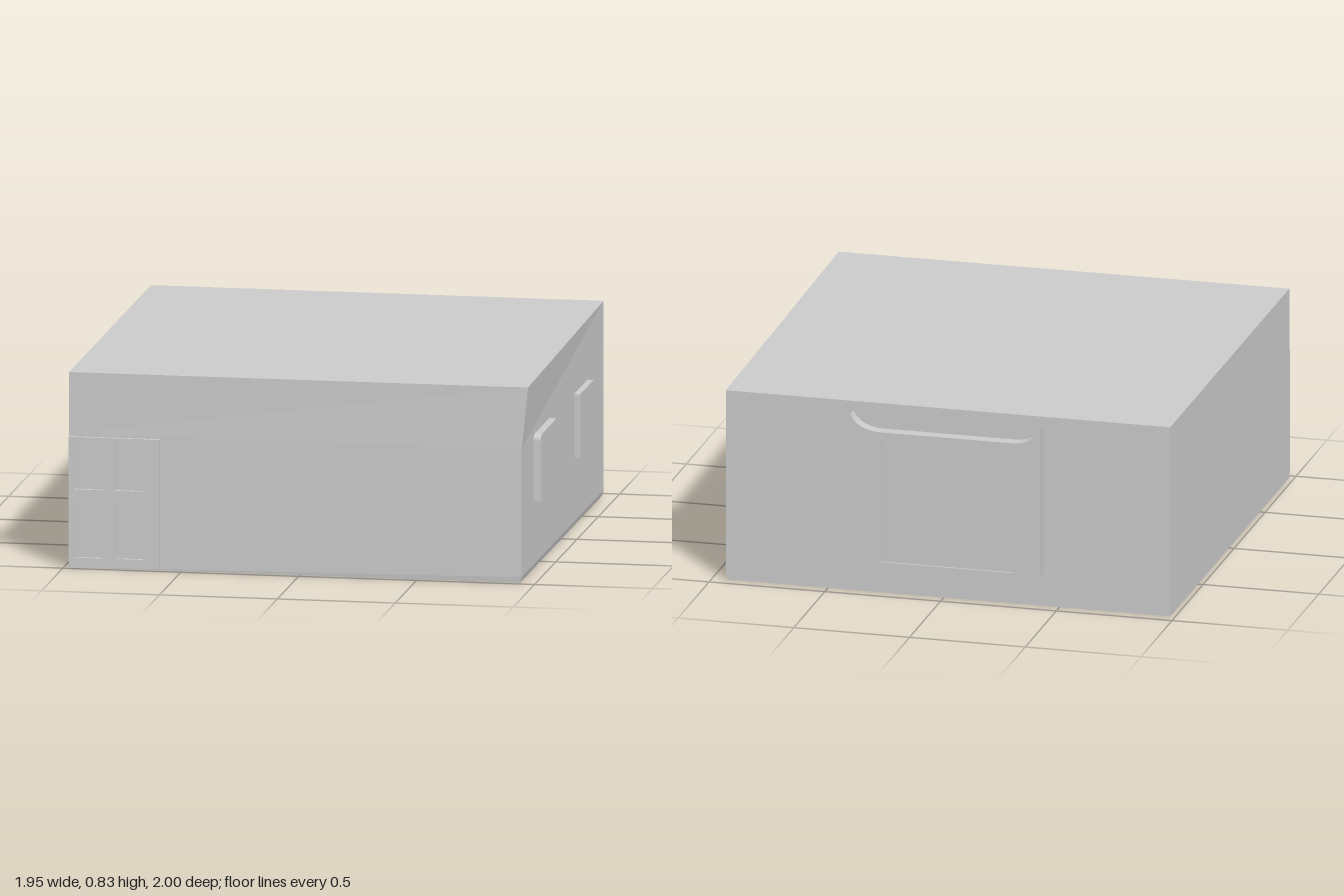
import * as THREE from 'three';

const material = new THREE.MeshStandardMaterial({ color: 0xcccccc, flatShading: true });

function addMesh(group, geometry, name) {
  const mesh = new THREE.Mesh(geometry, material);
  mesh.name = name;
  group.add(mesh);
  return mesh;
}

function box(group, name, [x0, x1], [y0, y1], [z0, z1]) {
  const mesh = addMesh(group, new THREE.BoxGeometry(x1 - x0, y1 - y0, z1 - z0), name);
  mesh.position.set((x0 + x1) / 2, (y0 + y1) / 2, (z0 + z1) / 2);
  return mesh;
}

function extrude(shape, depth) {
  return new THREE.ExtrudeGeometry(shape, { depth, bevelEnabled: false, curveSegments: 6 });
}

function rectangle(Type, x0, x1, y0, y1) {
  const path = new Type();
  path.moveTo(x0, y0);
  path.lineTo(x1, y0);
  path.lineTo(x1, y1);
  path.lineTo(x0, y1);
  path.closePath();
  return path;
}

// Closed body lofted through four-cornered rings, lowest ring first
function bodyGeometry() {
  // each ring: y, right wall x at the front, right wall x at the back, front z at the right
  const rings = [
    [0, 0.935, 0.935, 0.975],
    [0.025, 0.942, 0.942, 0.978],
    [0.57, 0.942, 0.942, 0.978],
    [0.83, 0.967, 0.942, 0.967],
  ];
  const positions = [];
  for (const [y, xf, xb, zf] of rings) {
    positions.push(-0.978, y, 0.975, xf, y, zf, xb, y, -0.947, -0.978, y, -0.947);
  }
  const index = [];
  for (let r = 0; r < rings.length - 1; r++) {
    for (let i = 0; i < 4; i++) {
      const a = r * 4 + i, b = r * 4 + (i + 1) % 4;
      index.push(a, b, b + 4, a, b + 4, a + 4);
    }
  }
  const t = (rings.length - 1) * 4;
  index.push(0, 2, 1, 0, 3, 2, t, t + 1, t + 2, t, t + 2, t + 3);
  const geometry = new THREE.BufferGeometry();
  geometry.setAttribute('position', new THREE.Float32BufferAttribute(positions, 3));
  geometry.setIndex(index);
  const flat = geometry.toNonIndexed();
  flat.computeVertexNormals();
  return flat;
}

// Window slab on the right wall, with a rounded upper front corner
function addWindow(group, name, [z0, z1], [y0, y1], xOut, radius) {
  const shape = new THREE.Shape();
  shape.moveTo(-z1, y0);
  shape.lineTo(-z0, y0);
  shape.lineTo(-z0, y1);
  shape.lineTo(-z1 + radius, y1);
  shape.quadraticCurveTo(-z1, y1, -z1, y1 - radius);
  shape.closePath();
  const mesh = addMesh(group, extrude(shape, 0.05), name);
  mesh.rotation.y = Math.PI / 2;
  mesh.position.x = xOut - 0.05;
}

export function createModel() {
  const model = new THREE.Group();
  model.name = 'building';

  addMesh(model, bodyGeometry(), 'walls');

  // Door leaf with four sunken panels and a side jamb
  const door = new THREE.Group();
  door.name = 'door';
  model.add(door);
  const leaf = rectangle(THREE.Shape, -0.978, -0.655, 0.025, 0.558);
  for (const [x0, x1] of [[-0.953, -0.832], [-0.78, -0.66]]) {
    for (const [y0, y1] of [[0.045, 0.285], [0.335, 0.545]]) {
      leaf.holes.push(rectangle(THREE.Path, x0, x1, y0, y1));
    }
  }
  addMesh(door, extrude(leaf, 0.03), 'doorLeaf').position.z = 0.96;
  box(door, 'doorJamb', [-0.655, -0.592], [0.025, 0.558], [0.96, 0.995]);

  addWindow(model, 'frontWindow', [0.33, 0.7], [0.295, 0.577], 0.973, 0.03);
  addWindow(model, 'backWindow', [-0.57, -0.26], [0.295, 0.567], 0.968, 0.004);

  // Back bay: a slab whose top edge sweeps down from both corners
  const bay = new THREE.Group();
  bay.name = 'backBay';
  model.add(bay);
  const slab = new THREE.Shape();
  slab.moveTo(-0.43, 0.14);
  slab.lineTo(0.39, 0.14);
  slab.lineTo(0.39, 0.79);
  slab.quadraticCurveTo(0.36, 0.72, 0.26, 0.72);
  slab.lineTo(-0.31, 0.72);
  slab.quadraticCurveTo(-0.4, 0.72, -0.43, 0.79);
  slab.closePath();

  // Shallow sunken field with rounded upper corners
  const field = new THREE.Path();
  field.moveTo(-0.31, 0.15);
  field.lineTo(0.26, 0.15);
  field.lineTo(0.26, 0.64);
  field.quadraticCurveTo(0.26, 0.7, 0.2, 0.7);
  field.lineTo(-0.25, 0.7);
  field.quadraticCurveTo(-0.31, 0.7, -0.31, 0.64);
  field.closePath();
  const frame = slab.clone();
  frame.holes.push(field);
  addMesh(bay, extrude(frame, 0.06), 'bayFrame').position.z = -1;
  box(bay, 'bayPanel', [-0.315, 0.265], [0.145, 0.705], [-0.992, -0.945]);

  return model;
}
